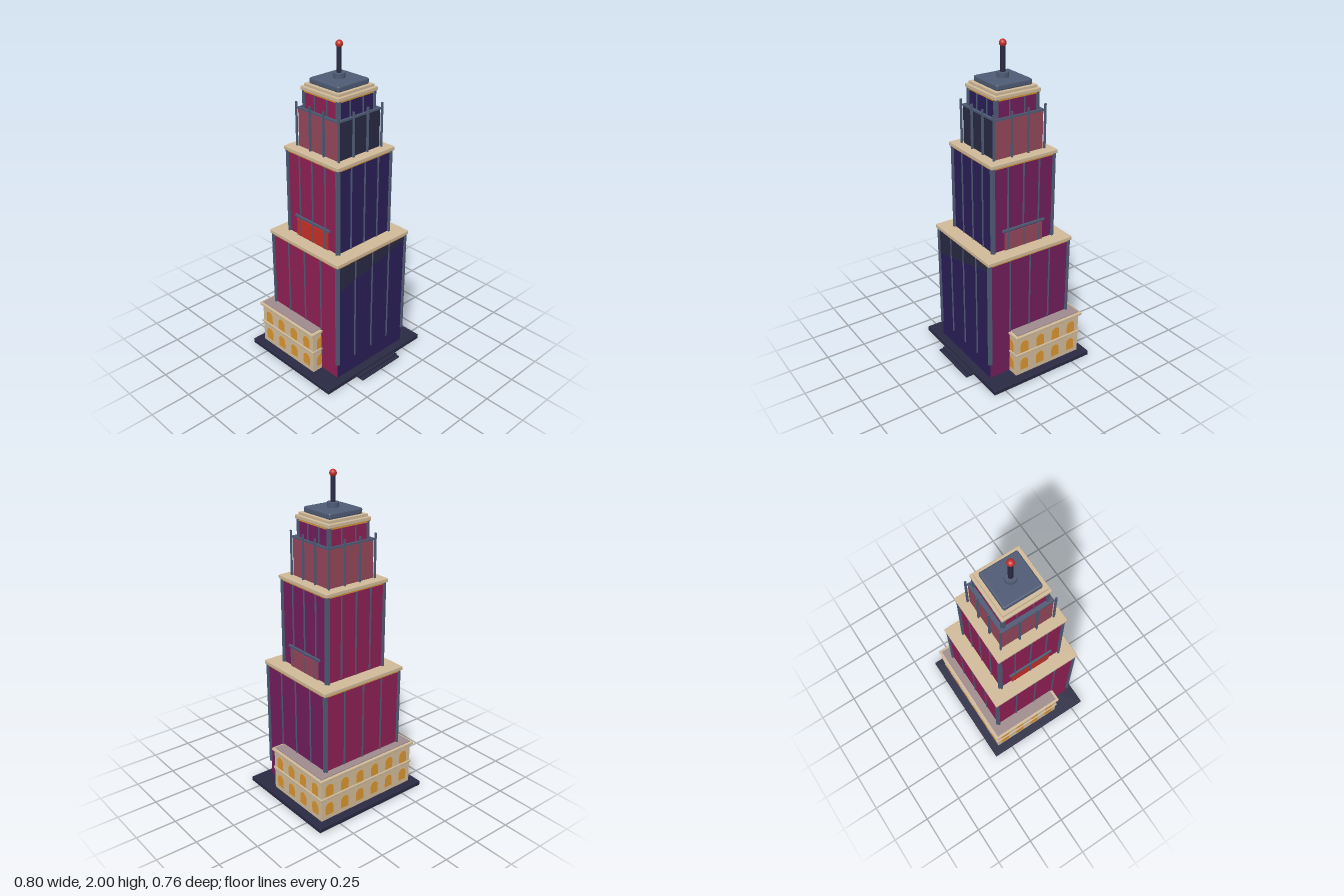
import * as THREE from 'three';
import { RoundedBoxGeometry } from 'three/addons/geometries/RoundedBoxGeometry.js';

const mat = (name, color) => {
  const m = new THREE.MeshStandardMaterial({ color });
  m.name = name;
  return m;
};

export function createModel() {
  const stone = mat('stone', 0xcfb998);
  const amber = mat('amber', 0xd8932f);
  const navy = mat('navy', 0x292943);
  const slate = mat('slate', 0x4e5a74);
  const violet = mat('violetGlass', 0x2a1e57);
  const magenta = mat('magentaGlass', 0x701d5a);
  const crimson = mat('crimsonGlass', 0x8c1f52);
  const rose = mat('roseGlass', 0x924659);
  const red = mat('red', 0xc42f27);
  const mauve = mat('mauveRoof', 0x9e8a8c);

  const model = new THREE.Group();
  model.name = 'tower';

  const add = (parent, name, geometry, material, x = 0, y = 0, z = 0) => {
    const mesh = new THREE.Mesh(geometry, material);
    mesh.name = name;
    mesh.position.set(x, y, z);
    parent.add(mesh);
    return mesh;
  };
  // Box given by its extents, with softened edges when a radius is given
  const block = (parent, name, material, x0, x1, y0, y1, z0, z1, radius = 0) => {
    const size = [x1 - x0, y1 - y0, z1 - z0];
    const geometry = radius ? new RoundedBoxGeometry(...size, 2, radius) : new THREE.BoxGeometry(...size);
    return add(parent, name, geometry, material, (x0 + x1) / 2, (y0 + y1) / 2, (z0 + z1) / 2);
  };
  // Square block centred on the tower axis
  const slab = (parent, name, material, half, y0, y1, radius = 0) =>
    block(parent, name, material, -half, half, y0, y1, -half, half, radius);
  const group = (name) => {
    const g = new THREE.Group();
    g.name = name;
    model.add(g);
    return g;
  };
  // Run a builder once for each of the four faces
  const fourSides = (parent, name, build) => {
    for (let i = 0; i < 4; i++) {
      const side = new THREE.Group();
      side.name = name;
      side.rotation.y = i * Math.PI / 2;
      parent.add(side);
      build(side);
    }
  };

  // Plinth and entrance steps
  const base = group('base');
  block(base, 'plinth', navy, -0.402, 0.402, 0, 0.03, -0.382, 0.329, 0.004);
  block(base, 'upperStep', navy, -0.165, 0.165, 0, 0.018, 0.329, 0.355, 0.002);
  block(base, 'lowerStep', navy, -0.165, 0.165, 0, 0.009, 0.355, 0.38, 0.002);

  // Podium with belt, cornice and roof
  const podium = group('podium');
  block(podium, 'podiumWalls', stone, -0.35, 0.35, 0.03, 0.3, -0.33, 0.14);
  block(podium, 'podiumBelt', stone, -0.358, 0.358, 0.168, 0.183, -0.338, 0.145, 0.003);
  block(podium, 'podiumCornice', stone, -0.365, 0.365, 0.296, 0.314, -0.345, 0.148, 0.004);
  block(podium, 'podiumRoof', mauve, -0.35, 0.35, 0.312, 0.319, -0.33, 0.13);

  // Arched windows
  const r = 0.028;
  const arch = new THREE.Shape();
  arch.moveTo(-r, 0);
  arch.lineTo(r, 0);
  arch.lineTo(r, 0.052);
  arch.absarc(0, 0.052, r, 0, Math.PI, false);
  arch.closePath();
  const archGeo = new THREE.ExtrudeGeometry(arch, { depth: 0.002, bevelEnabled: false, curveSegments: 10 });
  const addWindow = (x, y, z, turn) => {
    add(podium, 'archedWindow', archGeo, amber, x, y, z).rotation.y = turn;
  };
  for (const y of [0.06, 0.187]) {
    for (let i = 0; i < 6; i++) addWindow((i - 2.5) * 0.1167, y, -0.33, Math.PI);
    for (const s of [-1, 1]) {
      addWindow(s * 0.2917, y, 0.14, 0);
      for (let i = 0; i < 4; i++) addWindow(s * 0.35, y, 0.08 - i * 0.1167, s * Math.PI / 2);
    }
  }

  // Glazed tier: walls, fins, corner posts, amber line and cornice
  const tier = (name, { wall, y0, fin0, top, fin, out, fins, cornice, corniceTop }) => {
    const g = group(name);
    slab(g, 'glassWalls', [magenta, crimson, stone, stone, violet, crimson], wall, y0, top);
    fourSides(g, 'fins', (side) => {
      for (const x of fins) block(side, 'fin', slate, x - fin, x + fin, fin0, top, wall, wall + 0.005);
      for (const s of [-1, 1]) {
        const x = s * (wall - 0.002);
        block(side, 'cornerFin', slate, x - 0.006, x + 0.006, fin0, top, wall - 0.004, out);
      }
      block(side, 'amberLine', amber, -wall, wall, top - 0.01, top, wall, wall + 0.006);
    });
    slab(g, 'cornice', stone, cornice, top, corniceTop, 0.004);
    return g;
  };
  const lower = tier('lowerTier', {
    wall: 0.28, y0: 0.03, fin0: 0.13, top: 0.812, fin: 0.004, out: 0.292,
    fins: [-0.14, 0, 0.14], cornice: 0.296, corniceTop: 0.836,
  });
  const middle = tier('middleTier', {
    wall: 0.208, y0: 0.83, fin0: 0.835, top: 1.362, fin: 0.004, out: 0.221,
    fins: [-0.107, 0, 0.107], cornice: 0.225, corniceTop: 1.385,
  });
  const upper = tier('upperTier', {
    wall: 0.137, y0: 1.38, fin0: 1.385, top: 1.719, fin: 0.003, out: 0.149,
    fins: [-0.05, 0.05], cornice: 0.152, corniceTop: 1.742,
  });
  slab(upper, 'corniceCap', stone, 0.137, 1.74, 1.757);

  // Dark slanted pane on the lower front
  const pane = new THREE.Shape([
    new THREE.Vector2(-0.278, 0.64), new THREE.Vector2(0.278, 0.77),
    new THREE.Vector2(0.278, 0.802), new THREE.Vector2(-0.278, 0.802),
  ]);
  add(lower, 'darkPane', new THREE.ExtrudeGeometry(pane, { depth: 0.002, bevelEnabled: false }), navy, 0, 0, 0.28);

  // Side balconies on the middle tier
  for (const s of [-1, 1]) {
    const x = s * 0.214;
    block(middle, 'balconyPanel', s > 0 ? rose : red, x - 0.003, x + 0.003, 0.835, 0.945, -0.132, 0.132);
    block(middle, 'balconyRail', slate, x - 0.006, x + 0.006, 0.955, 0.968, -0.147, 0.147);
    for (const z of [-0.107, 0, 0.107])
      block(middle, 'balconyPost', slate, x - 0.005, x + 0.005, 0.835, 0.957, z - 0.003, z + 0.003);
  }

  // Screen around the upper tier with tall fins
  const screen = group('upperScreen');
  slab(screen, 'screenWalls', [rose, rose, slate, slate, navy, rose], 0.162, 1.385, 1.612);
  fourSides(screen, 'screenSide', (side) => {
    block(side, 'screenRim', slate, -0.165, 0.165, 1.608, 1.62, 0.153, 0.165);
    for (const x of [-0.055, 0.055])
      block(side, 'screenFin', slate, x - 0.004, x + 0.004, 1.385, 1.65, 0.165, 0.178);
  });
  for (const x of [-0.167, 0.167]) for (const z of [-0.172, 0.172])
    block(screen, 'cornerPost', slate, x - 0.004, x + 0.004, 1.385, 1.65, z - 0.006, z + 0.006);

  // Crown, mast and beacon
  const crown = group('crown');
  slab(crown, 'crownBlock', slate, 0.118, 1.755, 1.791, 0.01);
  add(crown, 'mastBase', new THREE.CylinderGeometry(0.034, 0.034, 0.03, 24), slate, 0, 1.805, 0);
  add(crown, 'mast', new THREE.CylinderGeometry(0.014, 0.014, 0.15, 16), navy, 0, 1.893, 0);
  add(crown, 'beacon', new THREE.SphereGeometry(0.021, 24, 16), red, 0, 1.979, 0);

  return model;
}
